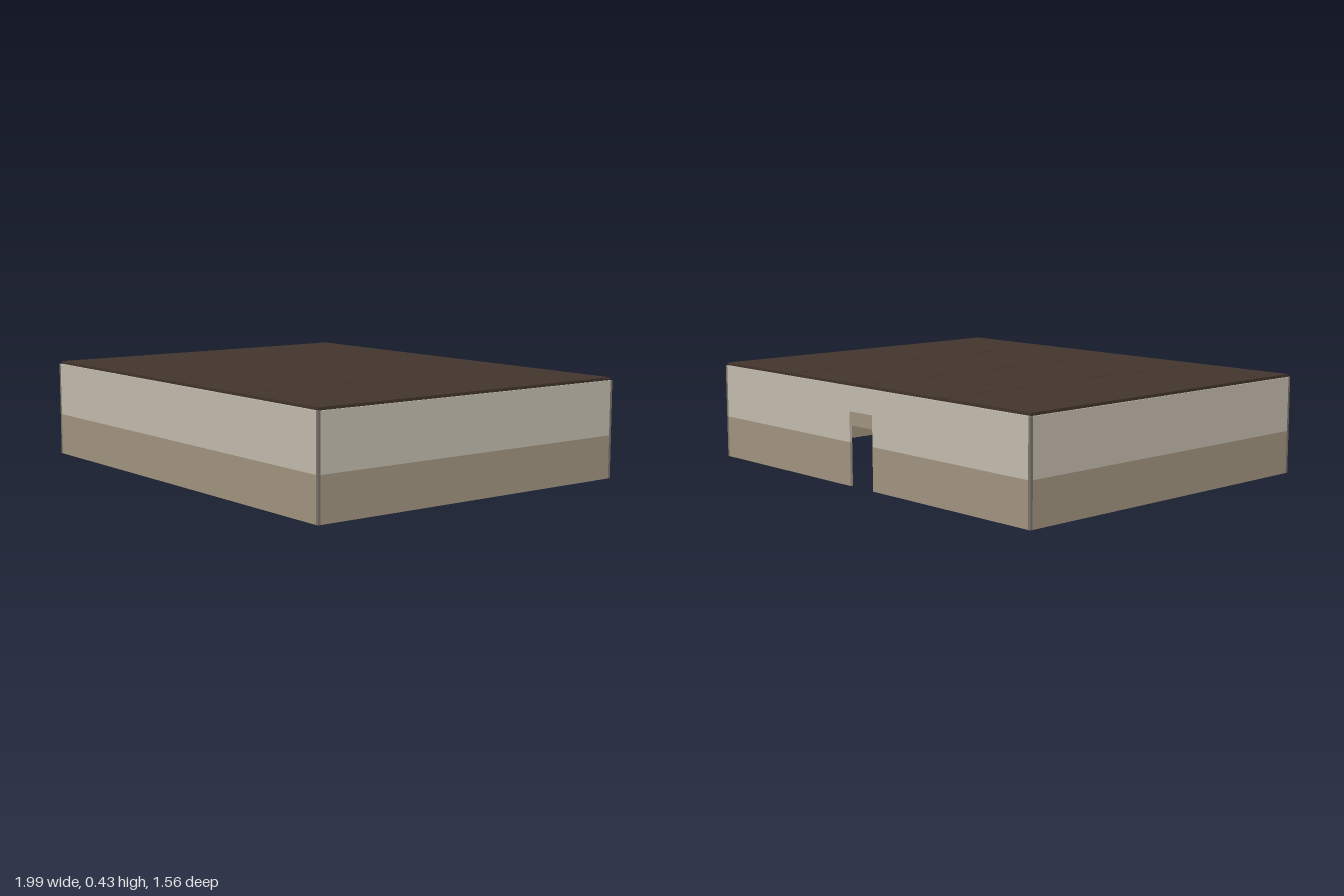
import * as THREE from 'three';

const W = 1.99, D = 1.556, T = 0.012;      // outer width, depth, wall thickness
const BAND = 0.185, TOP = 0.42, ROOF = 0.432; // heights
const DOOR = 0.075, DOOR_TOP = 0.257, LINTEL_TOP = 0.315;

export function createModel() {
  const model = new THREE.Group();
  const mat = (name, color) => {
    const m = new THREE.MeshStandardMaterial({ color });
    m.name = name;
    return m;
  };
  const plaster = mat('pale plaster', 0xc5bdaf);
  const wainscot = mat('tan wainscot', 0xa39681);
  const roof = mat('dark brown roof', 0x42352d);
  const trim = mat('grey corner trim', 0x7a746a);

  // Box given by its minimum and maximum corners
  const block = (name, material, x0, x1, y0, y1, z0, z1) => {
    const mesh = new THREE.Mesh(new THREE.BoxGeometry(x1 - x0, y1 - y0, z1 - z0), material);
    mesh.position.set((x0 + x1) / 2, (y0 + y1) / 2, (z0 + z1) / 2);
    mesh.name = name;
    model.add(mesh);
  };

  const x = W / 2, z = D / 2, xi = x - T, zi = z - T;

  // Front wall
  block('frontWainscot', wainscot, -xi, xi, 0, BAND, zi, z);
  block('frontWall', plaster, -xi, xi, BAND, TOP, zi, z);

  // Side walls and corner posts
  for (const s of [-1, 1]) {
    const a = s > 0 ? xi : -x, b = s > 0 ? x : -xi;
    const side = s > 0 ? 'left' : 'right';
    block(side + 'Wainscot', wainscot, a, b, 0, BAND, -zi, zi);
    block(side + 'Wall', plaster, a, b, BAND, TOP, -zi, zi);
    block(side + 'FrontPost', trim, a, b, 0, TOP, zi, z);
    block(side + 'BackPost', trim, a, b, 0, TOP, -z, -zi);

    // Back wall on each side of the doorway
    const c = s > 0 ? DOOR : -xi, d = s > 0 ? xi : -DOOR;
    block(side + 'BackWainscot', wainscot, c, d, 0, BAND, -z, -zi);
    block(side + 'BackWall', plaster, c, d, BAND, TOP, -z, -zi);
  }

  // Lintel and wall over the doorway
  block('doorLintel', wainscot, -DOOR, DOOR, DOOR_TOP, LINTEL_TOP, -z, -zi);
  block('wallOverDoor', plaster, -DOOR, DOOR, LINTEL_TOP, TOP, -z, -zi);

  // Roof tiles, four by four, with narrow gaps
  const rw = 1.98 / 4, rd = 1.54 / 4;
  for (let i = 0; i < 4; i++) {
    for (let j = 0; j < 4; j++) {
      const x0 = -0.99 + i * rw, z0 = -0.77 + j * rd;
      block('roofTile', roof, x0 + 0.002, x0 + rw - 0.002, TOP, ROOF, z0 + 0.001, z0 + rd - 0.001);
    }
  }
  return model;
}
